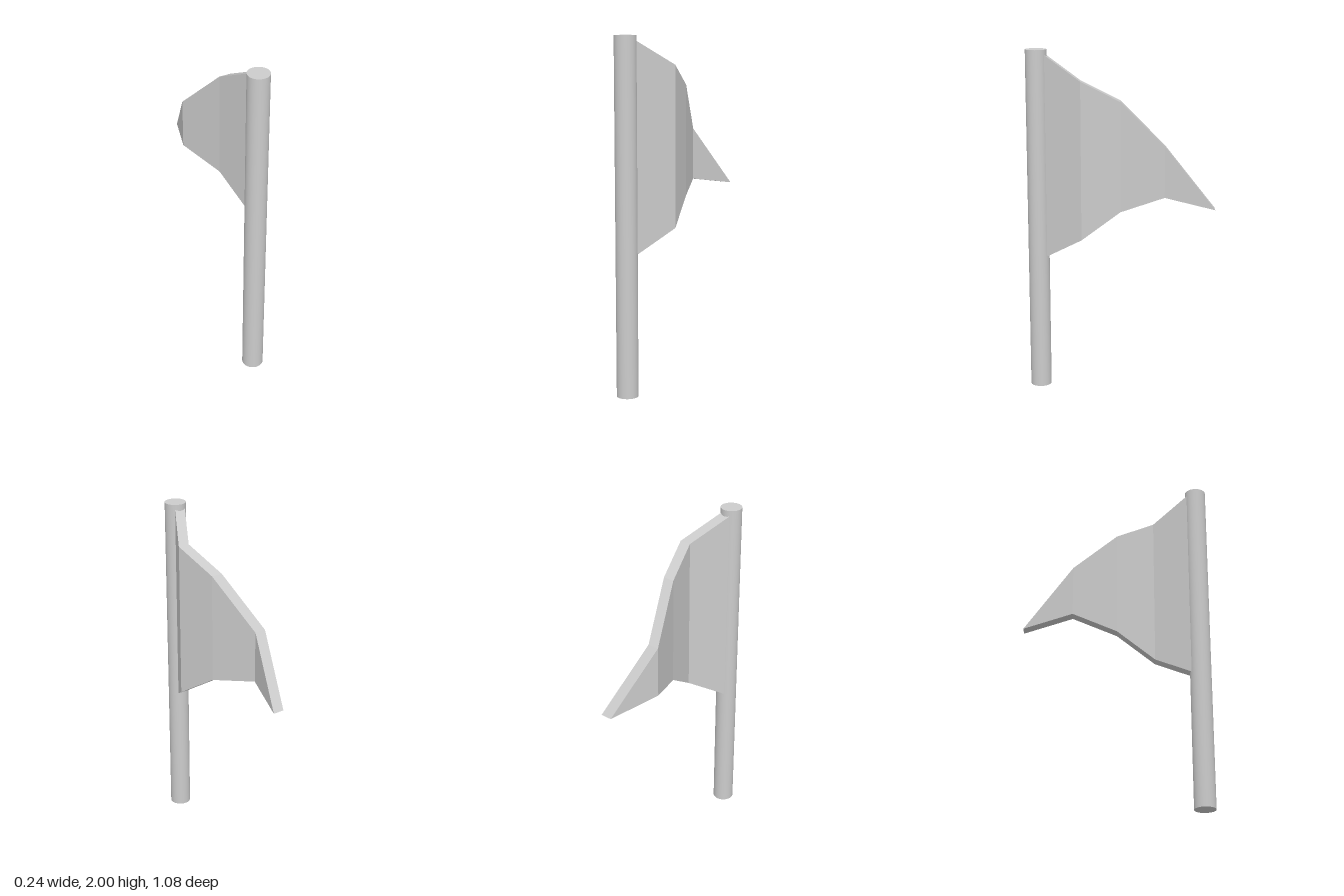
import * as THREE from 'three';

const HALF_THICKNESS = 0.0335;

// Flag cross-sections from the pole to the tip: [z, centre x, top y, bottom y]
const SECTIONS = [
  [0.45, -0.047, 1.983, 0.788],
  [0.225, 0.085, 1.837, 0.93],
  [0.003, 0.02, 1.715, 1.08],
  [-0.253, -0.086, 1.44, 1.14],
  [-0.541, 0.009, 1.09, 1.09],
];

// Four corners of a section, clockwise seen from the front
function corners([z, x, top, bottom]) {
  const l = x - HALF_THICKNESS, r = x + HALF_THICKNESS;
  return [[l, top, z], [r, top, z], [r, bottom, z], [l, bottom, z]];
}

function flagGeometry() {
  const positions = [];
  const quad = (a, b, c, d) => positions.push(...a, ...b, ...c, ...a, ...c, ...d);
  const rings = SECTIONS.map(corners);
  const last = rings.length - 1;
  for (let i = 0; i < last; i++) {
    const near = rings[i], far = rings[i + 1];
    for (let k = 0; k < 4; k++) {
      const n = (k + 1) % 4;
      // the sides narrow to a single edge at the tip
      if (i === last - 1 && k % 2 === 1) positions.push(...near[k], ...near[n], ...far[k]);
      else quad(near[k], near[n], far[n], far[k]);
    }
  }
  // end hidden inside the pole
  const [a, b, c, d] = rings[0];
  quad(a, d, c, b);

  const geometry = new THREE.BufferGeometry();
  geometry.setAttribute('position', new THREE.Float32BufferAttribute(positions, 3));
  geometry.computeVertexNormals();
  return geometry;
}

export function createModel() {
  const group = new THREE.Group();
  group.name = 'flagOnPole';
  const material = new THREE.MeshStandardMaterial({ color: 0xcccccc });

  // Round upright pole
  const pole = new THREE.Mesh(new THREE.CylinderGeometry(0.061, 0.061, 2, 48), material);
  pole.name = 'pole';
  pole.position.set(-0.038, 1, 0.48);
  group.add(pole);

  // Thick pennant folded in a zigzag
  const flag = new THREE.Mesh(flagGeometry(), material);
  flag.name = 'flag';
  group.add(flag);

  return group;
}
